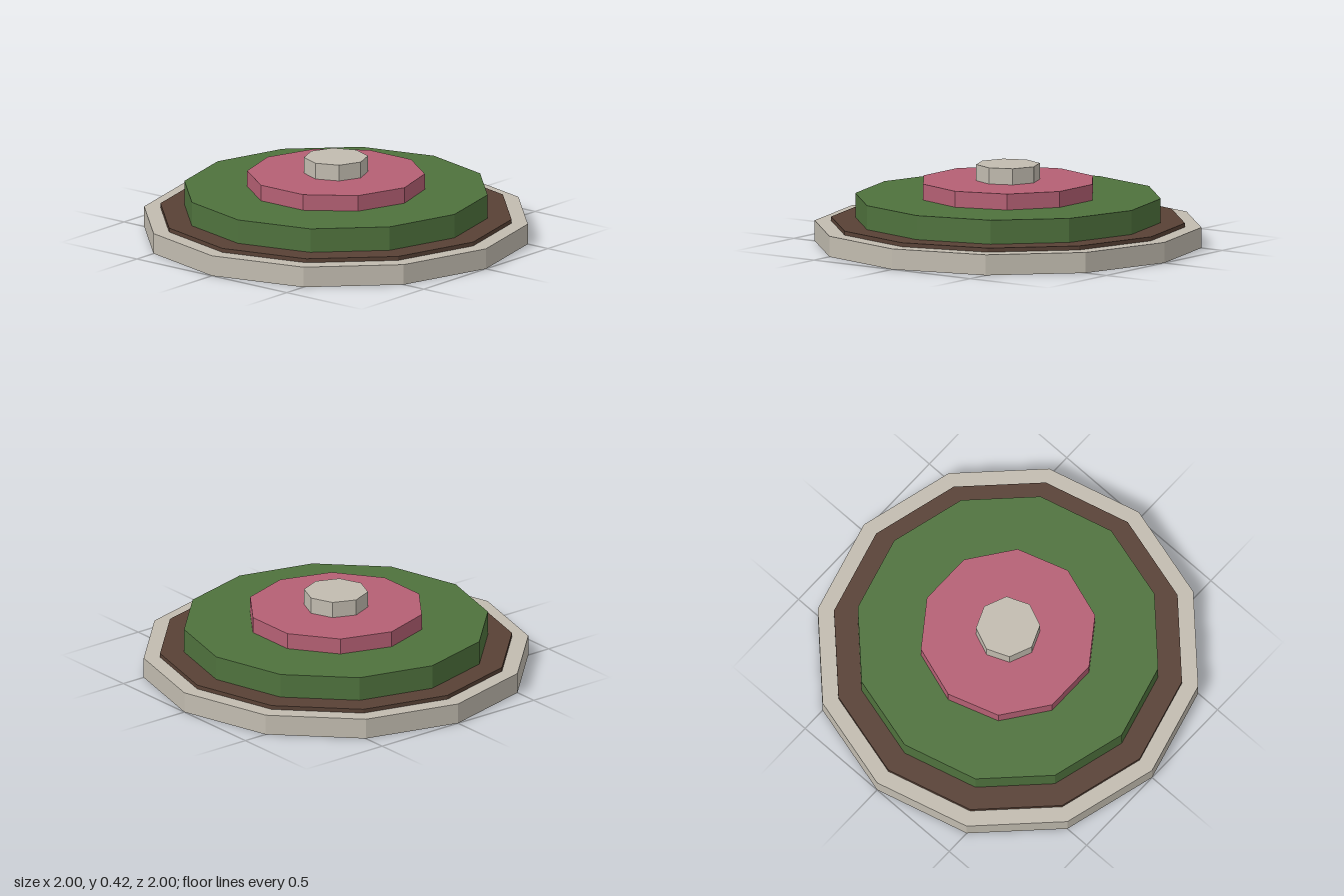
import * as THREE from 'three';

const material = (name, color) => {
  const m = new THREE.MeshStandardMaterial({ color });
  m.name = name;
  return m;
};

export function createModel() {
  const group = new THREE.Group();
  group.name = 'tieredFlowerBed';

  const stone = material('pale stone', 0xc2bcb0);
  const soil = material('brown soil', 0x584135);
  const leaves = material('leaf green', 0x4f723d);
  const petals = material('rose pink', 0xb56074);

  // Stacked prisms: name, material, radius, bottom, top, sides, turn
  const tiers = [
    ['stoneBase', stone, 1, 0, 0.107, 12, 0],
    ['soilLayer', soil, 0.915, 0.107, 0.128, 12, 0],
    ['foliageTier', leaves, 0.79, 0.128, 0.253, 12, 0],
    ['flowerTier', petals, 0.457, 0.253, 0.336, 10, Math.PI / 10],
    ['stoneCap', stone, 0.165, 0.336, 0.42, 8, 0],
  ];

  for (const [name, mat, radius, bottom, top, sides, turn] of tiers) {
    // Each tier is a flat-sided prism; turn sets where its corners point
    const geometry = new THREE.CylinderGeometry(radius, radius, top - bottom, sides, 1, false, turn)
      .toNonIndexed();
    geometry.computeVertexNormals();
    const mesh = new THREE.Mesh(geometry, mat);
    mesh.name = name;
    mesh.position.y = (bottom + top) / 2;
    group.add(mesh);
  }

  return group;
}
